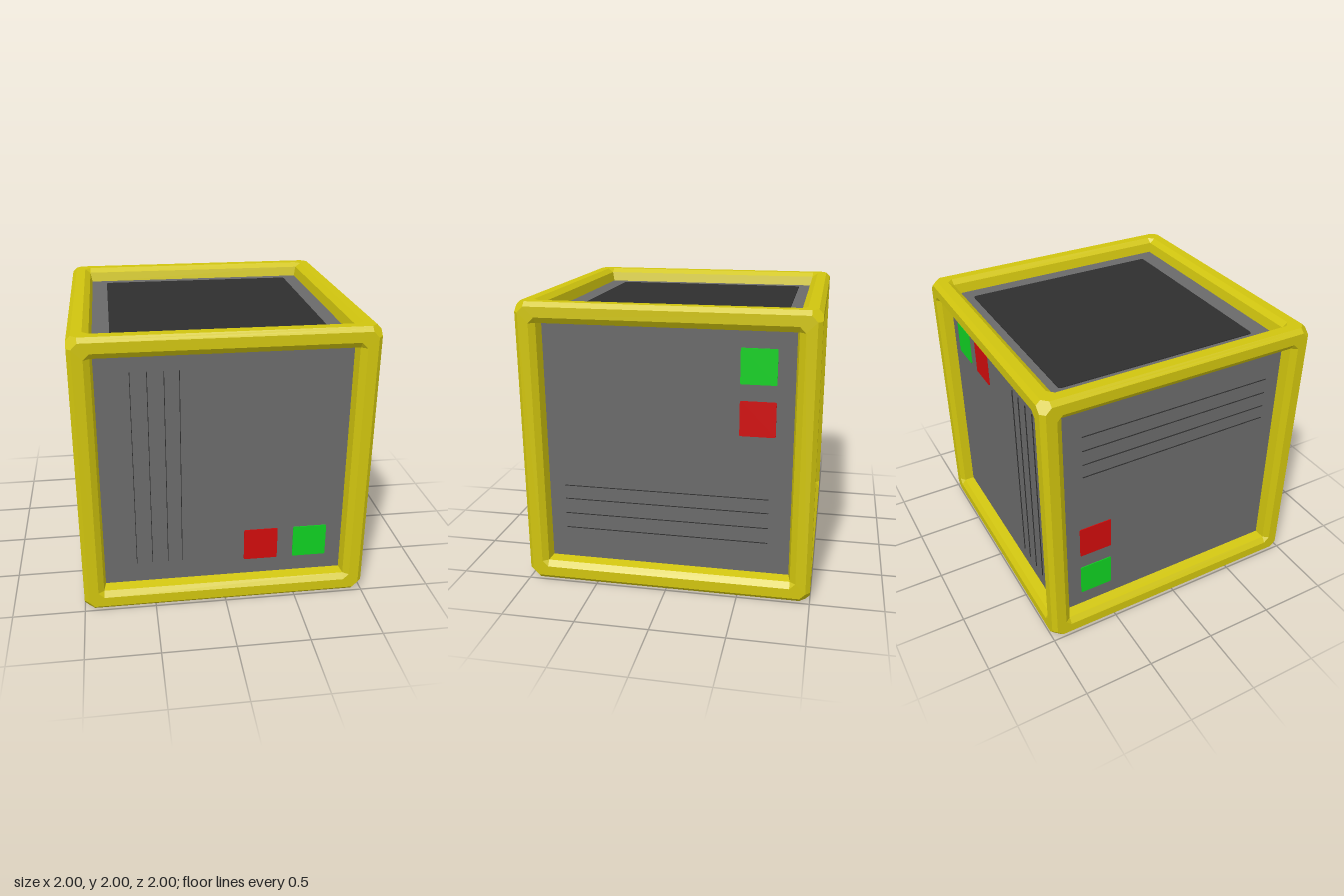
import * as THREE from 'three';

const mat = (name, color) => Object.assign(new THREE.MeshStandardMaterial({ color }), { name });
const yellow = mat('frame yellow', 0xd0c40e);
const grey = mat('panel grey', 0x6a6a6a);
const dark = mat('dark plate', 0x2e2e2e);
const red = mat('red button', 0xd00c0c);
const green = mat('green button', 0x10d022);

const PANEL = 0.9; // distance of the recessed panels from the centre

// Square loop with cut corners, counter-clockwise at depth z
const loop = (a, b, z) =>
  [[a, b], [b, a], [-b, a], [-a, b], [-a, -b], [-b, -a], [b, -a], [a, -b]]
    .map(([x, y]) => [x, y, z]);

// One side of the frame: half of each outer bevel, flat rim, inner bevel and wall
function frameSideGeometry() {
  const loops = [
    loop(0.985, 0.93, 0.985),
    loop(0.97, 0.93, 1),
    loop(0.9, 0.86, 1),
    loop(0.86, 0.86, 0.97),
    loop(0.845, 0.845, PANEL - 0.005),
  ];
  const pos = [];
  const tri = (...points) => points.forEach((p) => pos.push(...p));
  for (let k = 0; k < loops.length - 1; k++) {
    const o = loops[k], n = loops[k + 1];
    for (let i = 0; i < 8; i++) {
      const j = (i + 1) % 8;
      tri(o[i], o[j], n[j]);
      tri(o[i], n[j], n[i]);
    }
  }
  // this side's share of the cut cube corners
  const c = 2.9 / 3;
  for (let i = 0; i < 8; i += 2) {
    const p = loops[0][i], q = loops[0][i + 1];
    tri([Math.sign(p[0]) * c, Math.sign(p[1]) * c, c], q, p);
  }
  const geo = new THREE.BufferGeometry();
  geo.setAttribute('position', new THREE.Float32BufferAttribute(pos, 3));
  geo.computeVertexNormals();
  return geo;
}

// Thin plate with rounded corners lying on a panel
function plate(name, material, u, v, w, h, r) {
  const x = w / 2, y = h / 2;
  const s = new THREE.Shape();
  s.moveTo(-x + r, -y);
  s.lineTo(x - r, -y);
  s.quadraticCurveTo(x, -y, x, -y + r);
  s.lineTo(x, y - r);
  s.quadraticCurveTo(x, y, x - r, y);
  s.lineTo(-x + r, y);
  s.quadraticCurveTo(-x, y, -x, y - r);
  s.lineTo(-x, -y + r);
  s.quadraticCurveTo(-x, -y, -x + r, -y);
  const geo = new THREE.ExtrudeGeometry(s, { depth: 0.006, bevelEnabled: false, curveSegments: 4 });
  const mesh = new THREE.Mesh(geo, material);
  mesh.name = name;
  mesh.position.set(u, v, PANEL);
  return mesh;
}

export function createModel() {
  const model = new THREE.Group();
  model.name = 'framedCube';
  const cube = new THREE.Group();
  cube.name = 'cube';
  cube.position.y = 1;
  model.add(cube);

  // Recessed panels on all six sides
  const core = new THREE.Mesh(new THREE.BoxGeometry(2 * PANEL, 2 * PANEL, 2 * PANEL), grey);
  core.name = 'panels';
  cube.add(core);

  const sideGeo = frameSideGeometry();
  const addSide = (name) => {
    const side = new THREE.Group();
    side.name = name;
    const frame = new THREE.Mesh(sideGeo, yellow);
    frame.name = 'frameSide';
    side.add(frame);
    cube.add(side);
    return side;
  };

  // Upright sides: the same panel details, each turned a further quarter
  ['front', 'right', 'back', 'left'].forEach((name, k) => {
    const side = addSide(name + 'Side');
    side.rotation.y = k * Math.PI / 2;
    const details = new THREE.Group();
    details.name = 'panelDetails';
    details.rotation.z = k * Math.PI / 2;
    details.add(plate('redButton', red, 0.262, -0.608, 0.24, 0.24, 0.01));
    details.add(plate('greenButton', green, 0.615, -0.608, 0.24, 0.24, 0.01));
    for (const u of [-0.62, -0.51, -0.4, -0.3]) {
      details.add(plate('panelLine', dark, u, 0.02, 0.004, 1.43, 0.001));
    }
    side.add(details);
  });

  // Top and bottom carry one large dark plate
  for (const s of [1, -1]) {
    const side = addSide(s > 0 ? 'topSide' : 'bottomSide');
    side.rotation.x = -s * Math.PI / 2;
    side.add(plate('darkPlate', dark, 0.002, s * 0.023, 1.465, 1.47, 0.025));
  }
  return model;
}
